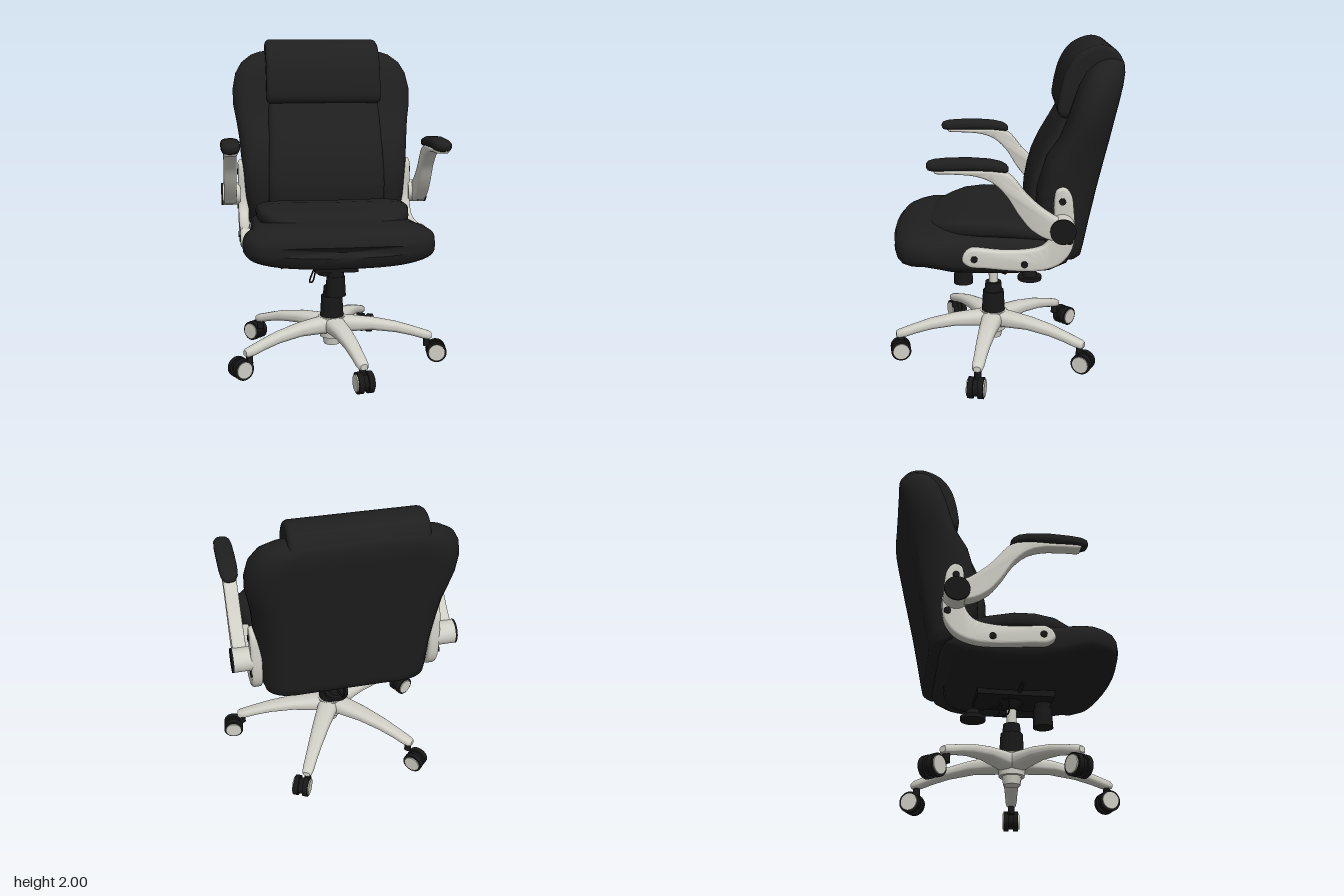
import * as THREE from 'three';
import { mergeVertices, toCreasedNormals } from 'three/addons/utils/BufferGeometryUtils.js';

const mat = (name, color) => Object.assign(new THREE.MeshStandardMaterial({ color }), { name });
const leather = mat('black leather', 0x1f1f1f);
const plastic = mat('black plastic', 0x171717);
const silver = mat('light silver', 0xcfcec5);

function add(parent, name, geometry, material, x = 0, y = 0, z = 0) {
  const mesh = new THREE.Mesh(geometry, material);
  mesh.name = name;
  mesh.position.set(x, y, z);
  parent.add(mesh);
  return mesh;
}

// Closed smooth skin over a list of equally long rings of Vector3
function loft(rings, crease = 0.9) {
  const n = rings[0].length, pos = [], idx = [];
  rings.forEach(r => r.forEach(p => pos.push(p.x, p.y, p.z)));
  for (let i = 0; i < rings.length - 1; i++) for (let j = 0; j < n; j++) {
    const a = i * n + j, b = i * n + (j + 1) % n;
    idx.push(a, b, a + n, b, b + n, a + n);
  }
  [0, rings.length - 1].forEach((r, end) => {
    const c = rings[r].reduce((s, p) => s.add(p), new THREE.Vector3()).divideScalar(n);
    const ci = pos.length / 3;
    pos.push(c.x, c.y, c.z);
    for (let j = 0; j < n; j++) {
      const a = r * n + j, b = r * n + (j + 1) % n;
      if (end) idx.push(a, b, ci); else idx.push(b, a, ci);
    }
  });
  // Turn the skin outward if the enclosed volume is negative
  const v = i => new THREE.Vector3(pos[3 * i], pos[3 * i + 1], pos[3 * i + 2]);
  let volume = 0;
  for (let i = 0; i < idx.length; i += 3) volume += v(idx[i]).dot(v(idx[i + 1]).cross(v(idx[i + 2])));
  if (volume < 0) idx.reverse();
  const g = new THREE.BufferGeometry();
  g.setAttribute('position', new THREE.Float32BufferAttribute(pos, 3));
  g.setIndex(idx);
  return toCreasedNormals(g, crease);
}

// Superellipse points (a, b) with half sizes w, h
function oval(w, h, power, n = 48) {
  return Array.from({ length: n }, (_, i) => {
    const t = (i / n) * Math.PI * 2, c = Math.cos(t), s = Math.sin(t);
    return [w * Math.sign(c) * Math.abs(c) ** (2 / power), h * Math.sign(s) * Math.abs(s) ** (2 / power)];
  });
}

// Body lofted along z from rows [z, halfWidth, yBottom, yTop]
const loftZ = (rows, power, bend = (x, y, z) => [x, y, z]) => loft(rows.map(([z, w, yb, yt]) =>
  oval(w, (yt - yb) / 2, power).map(([x, y]) => new THREE.Vector3(...bend(x, y + (yb + yt) / 2, z)))));

// Outline in (z, y), extruded across x and centred on x = 0
function slab(points, width, bevel, tension = true) {
  const curve = new THREE.CatmullRomCurve3(points.map(p => new THREE.Vector3(p[0], p[1], 0)), true);
  const shape = new THREE.Shape(curve.getPoints(90).slice(0, -1).map(p => new THREE.Vector2(p.x, p.y)));
  let g = new THREE.ExtrudeGeometry(shape, {
    depth: width - 2 * bevel, bevelThickness: bevel, bevelSize: bevel, bevelOffset: -bevel, bevelSegments: 4,
  });
  g.translate(0, 0, bevel - width / 2).rotateY(-Math.PI / 2);
  g.deleteAttribute('uv');
  g.deleteAttribute('normal');
  return toCreasedNormals(mergeVertices(g, 1e-4), 0.7);
}

const cyl = (r1, r2, h, n = 32) => new THREE.CylinderGeometry(r1, r2, h, n);
const cylX = (r, h, n = 32) => cyl(r, r, h, n).rotateZ(Math.PI / 2);
const tube = (pts, r) => new THREE.TubeGeometry(
  new THREE.CatmullRomCurve3(pts.map(p => new THREE.Vector3(...p))), 40, r, 8);

function buildSeat(chair) {
  const bow = (x, y, z) => [x, y, z - 0.08 * (x / 0.55) ** 2 * THREE.MathUtils.smoothstep(z, 0.1, 0.6)];
  add(chair, 'seatBase', loftZ([
    [0.655, 0.38, 0.79, 0.85], [0.645, 0.46, 0.75, 0.885], [0.62, 0.51, 0.722, 0.915], [0.57, 0.545, 0.71, 0.935],
    [0.5, 0.558, 0.71, 0.95], [0.4, 0.552, 0.69, 0.955], [0.3, 0.535, 0.665, 0.955], [0.1, 0.505, 0.648, 0.96],
    [-0.1, 0.495, 0.648, 0.95], [-0.28, 0.49, 0.67, 0.93], [-0.38, 0.47, 0.72, 0.9], [-0.41, 0.42, 0.77, 0.86],
  ], 3.2, bow), leather);
  // Raised cushion, slightly dished along the middle
  add(chair, 'seatCushion', loftZ([
    [0.455, 0.12, 0.9, 0.955], [0.44, 0.22, 0.89, 0.965], [0.4, 0.31, 0.88, 0.98], [0.33, 0.39, 0.88, 1.0],
    [0.24, 0.44, 0.88, 1.025], [0.12, 0.463, 0.88, 1.035], [0, 0.465, 0.88, 1.03], [-0.15, 0.455, 0.87, 1.0],
    [-0.3, 0.44, 0.86, 0.95],
  ], 3.6, (x, y, z) => [x, y - (y > 0.93 ? 0.018 * (1 - (x / 0.47) ** 2) : 0), z]), leather);
}

function buildBack(chair) {
  // Shell rows: y, half width, rear z, front z
  const rows = [
    [0.775, 0.44, -0.455, -0.37], [0.79, 0.48, -0.47, -0.32], [0.85, 0.5, -0.482, -0.26], [1.0, 0.515, -0.51, -0.2],
    [1.2, 0.535, -0.55, -0.21], [1.38, 0.55, -0.59, -0.265], [1.48, 0.565, -0.612, -0.335], [1.58, 0.583, -0.632, -0.375],
    [1.68, 0.585, -0.655, -0.405], [1.78, 0.565, -0.678, -0.44], [1.85, 0.525, -0.69, -0.48], [1.9, 0.46, -0.69, -0.53],
    [1.92, 0.4, -0.68, -0.57], [1.928, 0.34, -0.66, -0.6],
  ];
  const half = [[0.45, 0], [0.79, 0.03], [0.94, 0.28], [1, 0.62], [0.94, 0.9], [0.77, 1], [0.4, 0.98]];
  const outline = [[0, 0], ...half, [0, 0.97], ...half.map(([a, b]) => [-a, b]).reverse()];
  add(chair, 'backrestShell', loft(rows.map(([y, w, zb, zf]) => new THREE.CatmullRomCurve3(
    outline.map(([a, b]) => new THREE.Vector3(a * w, y, zb + b * (zf - zb))), true).getPoints(64).slice(0, -1))), leather);

  // Lumbar panel rows: y, half width, front z
  const panel = [
    [0.93, 0.33, -0.18], [0.945, 0.36, -0.15], [0.98, 0.372, -0.135], [1.1, 0.372, -0.14], [1.2, 0.37, -0.158],
    [1.3, 0.366, -0.185], [1.4, 0.363, -0.232], [1.5, 0.362, -0.29], [1.58, 0.36, -0.335], [1.64, 0.35, -0.37],
  ];
  add(chair, 'backrestPanel', loft(panel.map(([y, w, zf]) =>
    oval(w, 0.09, 5).map(([x, z]) => new THREE.Vector3(x, y, zf - 0.09 + z)))), leather);

  add(chair, 'headrest', slab([
    [-0.322, 1.62], [-0.326, 1.7], [-0.365, 1.85], [-0.425, 1.94], [-0.5, 1.985], [-0.57, 1.998], [-0.64, 1.972],
    [-0.688, 1.89], [-0.66, 1.78], [-0.5, 1.65], [-0.41, 1.595], [-0.345, 1.592],
  ], 0.74, 0.03), leather);
}

function buildArm(chair, side) {
  const arm = new THREE.Group();
  arm.name = side > 0 ? 'leftArm' : 'rightArm';
  chair.add(arm);
  add(arm, 'armBracket', slab([
    [0.21, 0.84], [0.22, 0.8], [0.18, 0.765], [0.08, 0.755], [-0.1, 0.74], [-0.24, 0.745], [-0.34, 0.785], [-0.4, 0.86],
    [-0.418, 0.96], [-0.41, 1.1], [-0.395, 1.19], [-0.355, 1.232], [-0.312, 1.215], [-0.297, 1.14], [-0.3, 1.04],
    [-0.285, 0.95], [-0.24, 0.89], [-0.15, 0.865], [0, 0.86], [0.1, 0.87], [0.17, 0.872],
  ], 0.065, 0.018), silver, side * 0.53);
  for (const [z, y] of [[0.15, 0.815], [-0.135, 0.785], [-0.345, 1.155], [-0.388, 0.925]])
    add(arm, 'bracketBolt', cylX(0.02, 0.016, 16), plastic, side * 0.561, y, z);
  add(arm, 'armPivot', cylX(0.072, 0.11), silver, side * 0.605, 1.01, -0.345);
  add(arm, 'pivotCap', cylX(0.072, 0.012), plastic, side * 0.666, 1.01, -0.345);
  add(arm, 'armSupport', slab([
    [0.36, 1.35], [0.2, 1.352], [0.05, 1.35], [-0.045, 1.325], [-0.15, 1.205], [-0.22, 1.14], [-0.3, 1.085],
    [-0.35, 1.06], [-0.36, 0.99], [-0.31, 0.955], [-0.25, 0.965], [-0.17, 1.015], [-0.1, 1.1], [-0.03, 1.21],
    [0.05, 1.285], [0.14, 1.318], [0.25, 1.328], [0.36, 1.335],
  ], 0.08, 0.012), silver, side * 0.615);
  add(arm, 'armPad', loftZ([
    [0.405, 0.02, 1.362, 1.385], [0.395, 0.037, 1.348, 1.397], [0.365, 0.051, 1.342, 1.406], [0.3, 0.056, 1.345, 1.412],
    [0.18, 0.057, 1.347, 1.416], [0.06, 0.056, 1.345, 1.408], [0, 0.051, 1.338, 1.395], [-0.03, 0.037, 1.335, 1.38],
    [-0.042, 0.02, 1.342, 1.365],
  ], 2.8), leather, side * 0.615);
}

function buildMechanism(chair) {
  add(chair, 'tiltPlate', new THREE.BoxGeometry(0.26, 0.04, 0.46), plastic, 0, 0.64, 0.06);
  add(chair, 'columnSocket', cyl(0.075, 0.04, 0.06), plastic, 0, 0.6, 0.05);
  add(chair, 'tensionKnob', cyl(0.055, 0.062, 0.12, 14), plastic, 0, 0.53, 0.24);
  add(chair, 'tensionKnobNeck', cyl(0.05, 0.05, 0.07), plastic, 0, 0.61, 0.24);
  add(chair, 'lumbarKnob', cyl(0.075, 0.075, 0.025, 20), plastic, 0.01, 0.51, -0.18);
  add(chair, 'lumbarKnobStem', cyl(0.035, 0.05, 0.05, 20), plastic, 0.01, 0.54, -0.18);
  add(chair, 'cable', tube([[0, 0.78, -0.34], [0, 0.66, -0.355], [0, 0.58, -0.31], [0.01, 0.555, -0.2],
    [0, 0.575, -0.1], [0, 0.61, 0]], 0.006), plastic);
  add(chair, 'cableClip', new THREE.BoxGeometry(0.06, 0.03, 0.04), plastic, 0, 0.76, -0.34);
  add(chair, 'cableLoop', tube([[-0.06, 0.64, 0], [-0.09, 0.56, -0.04], [-0.11, 0.49, -0.03], [-0.135, 0.5, 0.01],
    [-0.1, 0.6, 0.02], [-0.08, 0.65, 0.02]], 0.005), plastic);
  add(chair, 'heightLever', tube([[-0.08, 0.645, 0.08], [-0.22, 0.645, 0.08], [-0.28, 0.635, 0.08], [-0.32, 0.61, 0.08]], 0.012), plastic);
  add(chair, 'tiltLever', tube([[0.08, 0.64, 0.02], [0.15, 0.63, 0.02]], 0.008), plastic);
}

function buildBase(chair) {
  const base = new THREE.Group();
  base.name = 'base';
  base.position.z = 0.05;
  chair.add(base);
  add(base, 'columnCover', cyl(0.066, 0.074, 0.14), plastic, 0, 0.35, 0);
  add(base, 'columnSleeve', cyl(0.05, 0.056, 0.06), plastic, 0, 0.45, 0);
  add(base, 'gasPiston', cyl(0.029, 0.029, 0.12), silver, 0, 0.53, 0);
  add(base, 'hub', cyl(0.085, 0.075, 0.13), silver, 0, 0.225, 0);
  add(base, 'hubFoot', cyl(0.06, 0.05, 0.06, 12), silver, 0, 0.14, 0);
  const leg = loftZ([
    [0, 0.07, 0.18, 0.292], [0.1, 0.064, 0.19, 0.289], [0.25, 0.054, 0.2, 0.276], [0.4, 0.044, 0.185, 0.25],
    [0.5, 0.038, 0.163, 0.222], [0.57, 0.036, 0.143, 0.2], [0.61, 0.031, 0.138, 0.188], [0.625, 0.02, 0.145, 0.178],
  ], 2.6);
  // Caster centres (x, z) relative to the hub
  const casters = [[0.112, 0.588], [0.65, 0.09], [0.302, -0.555], [-0.46, -0.486], [-0.577, 0.267]];
  casters.forEach(([x, z], i) => {
    const angle = THREE.MathUtils.degToRad(10 + 72 * i);
    add(base, 'leg', leg, silver).rotation.y = angle;
    add(base, 'casterStem', cyl(0.02, 0.022, 0.06, 16), plastic, Math.sin(angle) * 0.595, 0.125, Math.cos(angle) * 0.595);
    const caster = new THREE.Group();
    caster.name = 'caster';
    caster.position.set(x, 0.063, z);
    caster.rotation.y = angle;
    base.add(caster);
    add(caster, 'casterAxle', cylX(0.05, 0.04), plastic);
    for (const s of [-1, 1]) {
      add(caster, 'wheel', cylX(0.063, 0.032), plastic, s * 0.03);
      add(caster, 'wheelCover', cylX(0.05, 0.009), silver, s * 0.049);
    }
  });
}

export function createModel() {
  const chair = new THREE.Group();
  chair.name = 'officeChair';
  const body = new THREE.Group();
  body.name = 'chairBody';
  body.position.x = -0.027;
  chair.add(body);
  buildSeat(body);
  buildBack(body);
  for (const side of [-1, 1]) buildArm(body, side);
  buildMechanism(body);
  buildBase(body);
  return chair;
}
